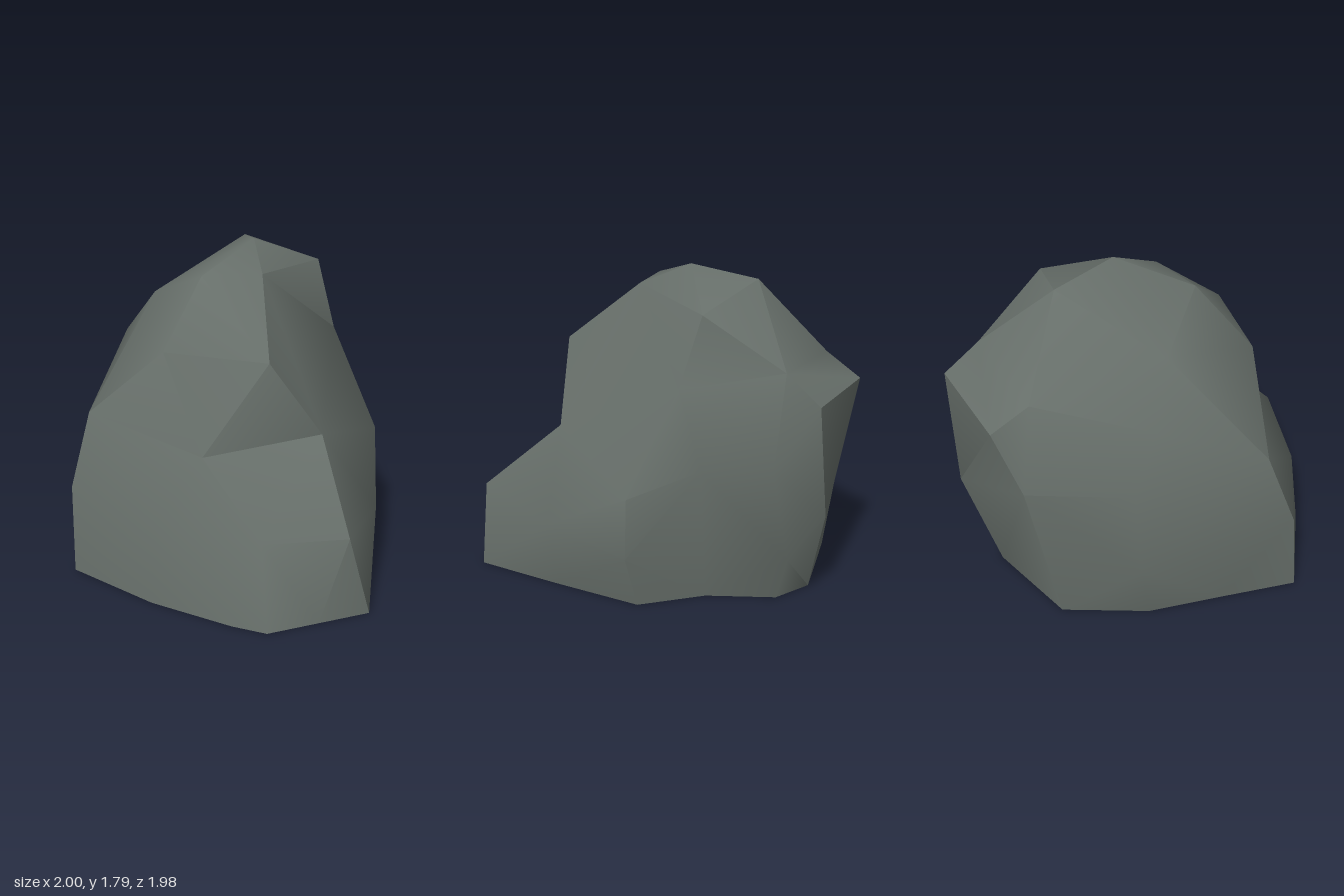
import * as THREE from 'three';
import { ConvexGeometry } from 'three/addons/geometries/ConvexGeometry.js';
import { toCreasedNormals } from 'three/addons/utils/BufferGeometryUtils.js';

// Corners of the boulder, grouped by height: x, y, z
const crown = [
  [-0.14, 1.79, -0.11], [-0.42, 1.73, -0.37], [0.08, 1.66, 0.09],
  [-0.15, 1.66, 0.33], [0, 1.61, -0.54], [-0.59, 1.48, 0.24],
];
const shoulders = [
  [-0.84, 1.29, -0.43], [-0.35, 1.33, -0.82], [0.13, 1.22, -0.53],
  [0.39, 1.3, 0.42], [-0.15, 1.31, 0.65], [-0.85, 1.2, 0.22],
  [-0.46, 1.18, -0.99], [-0.95, 1.17, -0.61],
];
const waist = [
  [-0.98, 0.82, -0.45], [-0.24, 0.83, -0.91], [0.08, 0.81, -0.7],
  [0.55, 0.86, 0.16], [0.16, 0.8, 0.7], [-0.6, 0.9, 0.79], [-0.95, 0.85, 0.13],
];
const skirt = [
  [-0.56, 0.53, -0.93], [-0.4, 0.25, -0.82], [0.44, 0.65, -0.54],
  [0.45, 0.3, -0.54], [0.74, 0.38, -0.11], [0.93, 0.46, 0.43],
  [0.6, 0.45, 0.75], [0.02, 0.45, 0.92], [-0.6, 0.5, 0.95], [-1, 0.38, 0.17],
];
// Footprint on the ground, with its middle last: x, z
const footprint = [
  [0.37, -0.52], [-0.02, -0.58], [-0.37, -0.76], [-0.61, -0.71], [-0.97, -0.28],
  [-0.91, 0.2], [-0.74, 0.59], [-0.57, 0.99], [0.02, 0.98], [0.51, 0.89],
  [0.7, 0.83], [0.85, 0.58], [1, 0.33], [0.69, -0.1], [0, 0.1],
];

// Skin a star-shaped set of corners: triangulate their directions from
// an inner point on a sphere, then move each vertex back to its corner.
// Triangles lying on the ground are left out, so the shell is open below.
function skin(corners, centre) {
  const dirs = corners.map((p) => p.clone().sub(centre).normalize());
  const hull = new ConvexGeometry(dirs).attributes.position;
  const nearest = (v) => {
    let best = 0;
    dirs.forEach((d, k) => {
      if (d.distanceToSquared(v) < dirs[best].distanceToSquared(v)) best = k;
    });
    return corners[best];
  };
  const points = [];
  for (let i = 0; i < hull.count; i += 3) {
    const triangle = [0, 1, 2].map((k) => nearest(new THREE.Vector3().fromBufferAttribute(hull, i + k)));
    if (triangle.some((p) => p.y > 0)) points.push(...triangle);
  }
  return toCreasedNormals(new THREE.BufferGeometry().setFromPoints(points), 0.8);
}

export function createModel() {
  const group = new THREE.Group();
  group.name = 'rock';
  const stone = new THREE.MeshStandardMaterial({ color: 0x666e69, side: THREE.DoubleSide });
  stone.name = 'grey stone';

  const corners = [
    ...crown, ...shoulders, ...waist, ...skirt,
    ...footprint.map(([x, z]) => [x, 0, z]),
  ].map((p) => new THREE.Vector3(...p));

  const boulder = new THREE.Mesh(skin(corners, new THREE.Vector3(-0.1, 0.75, 0)), stone);
  boulder.name = 'boulder';
  group.add(boulder);
  return group;
}
